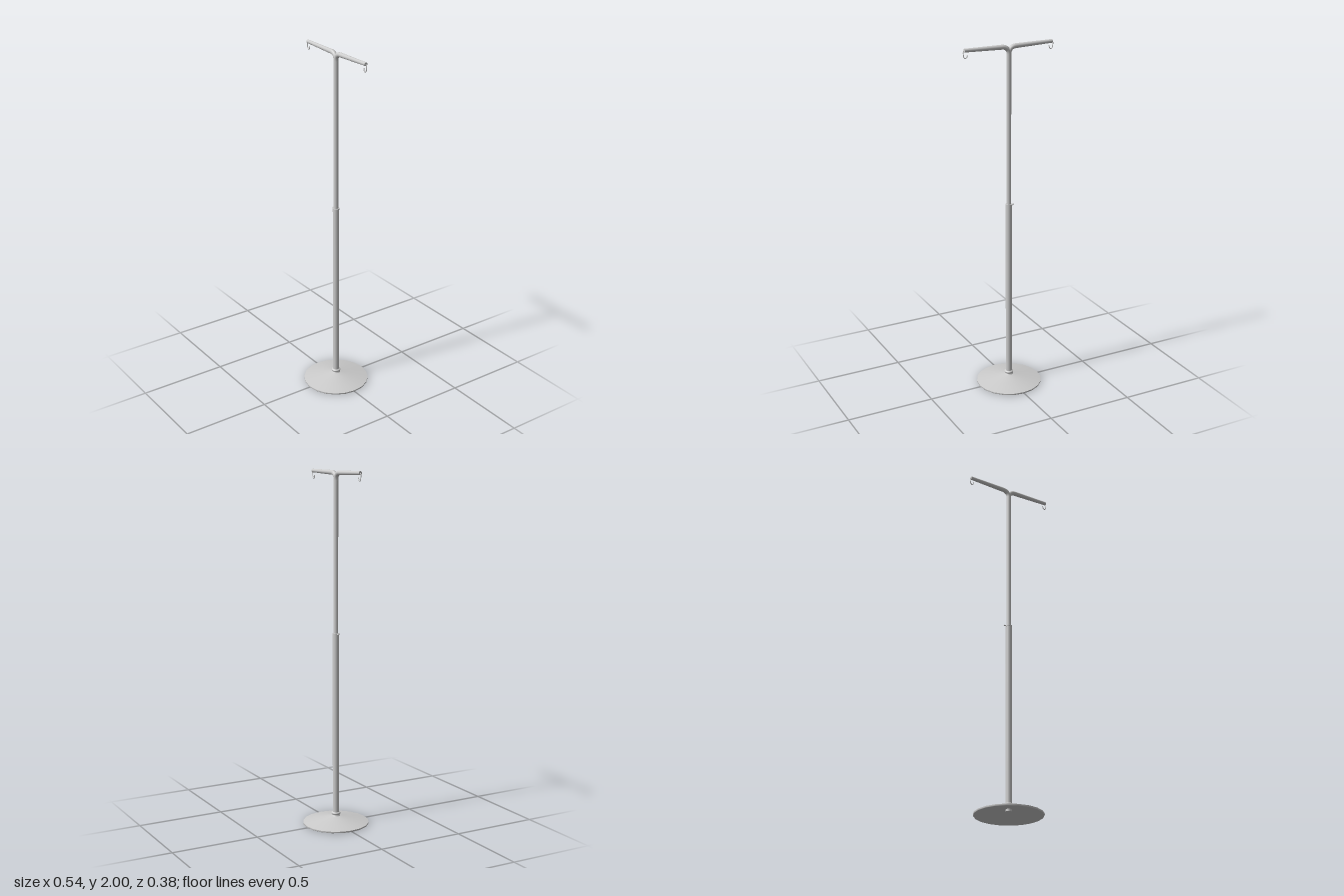
import * as THREE from 'three';

const mat = new THREE.MeshStandardMaterial({ color: 0xcccccc });
const thin = new THREE.MeshStandardMaterial({ color: 0xcccccc, side: THREE.DoubleSide });
const V = (x, y, z = 0) => new THREE.Vector3(x, y, z);

function add(group, name, geometry, material = mat) {
  const mesh = new THREE.Mesh(geometry, material);
  mesh.name = name;
  group.add(mesh);
  return mesh;
}

function lathe(points, sides) {
  return new THREE.LatheGeometry(points.map(([r, y]) => new THREE.Vector2(r, y)), sides);
}

// Tube whose radius runs from r0 to r1 after the fraction `start` of its length
function taperedTube(curve, r0, r1, start, steps, sides) {
  const geo = new THREE.TubeGeometry(curve, steps, 1, sides);
  const pos = geo.attributes.position;
  const p = V(0, 0), c = V(0, 0);
  for (let i = 0; i < pos.count; i++) {
    const u = Math.floor(i / (sides + 1)) / steps;
    const r = THREE.MathUtils.lerp(r0, r1, Math.max(0, (u - start) / (1 - start)));
    curve.getPointAt(u, c);
    p.fromBufferAttribute(pos, i).sub(c).multiplyScalar(r).add(c);
    pos.setXYZ(i, p.x, p.y, p.z);
  }
  return geo;
}

export function createModel() {
  const model = new THREE.Group();
  const stand = new THREE.Group();
  stand.name = 'stand';
  stand.position.x = 0.003;
  model.add(stand);

  // Shallow hollow conical foot
  add(stand, 'baseTop', lathe([[0.188, 0.009], [0.1, 0.028], [0.05, 0.038], [0.024, 0.044]], 20), thin);
  add(stand, 'baseRim', lathe([[0.186, 0], [0.188, 0.002], [0.188, 0.009]], 20), thin);
  add(stand, 'baseUnderside', lathe([[0, 0.034], [0.024, 0.034], [0.1, 0.02], [0.186, 0]], 20), thin);
  add(stand, 'baseHub', new THREE.CylinderGeometry(0.016, 0.016, 0.02, 20)).position.y = 0.032;

  // Rounded collar at the foot of the pole
  add(stand, 'baseCollar', lathe([
    [0.026, 0.042], [0.022, 0.048], [0.021, 0.052], [0.025, 0.055],
    [0.026, 0.059], [0.025, 0.063], [0.018, 0.066],
  ], 20), thin);

  // Telescopic pole
  add(stand, 'lowerPole', new THREE.CylinderGeometry(0.018, 0.018, 1.052, 20)).position.y = 0.569;
  add(stand, 'poleCollar', new THREE.CylinderGeometry(0.0195, 0.0195, 0.008, 20)).position.y = 1.096;
  add(stand, 'upperPole', new THREE.CylinderGeometry(0.013, 0.013, 0.85, 16)).position.y = 1.515;

  // Locking pin on the pole collar
  const pin = add(stand, 'lockingPin', new THREE.CylinderGeometry(0.003, 0.003, 0.02, 8));
  pin.rotation.z = Math.PI / 2;
  pin.position.set(-0.022, 1.096, 0);

  for (const [side, s] of [['left', 1], ['right', -1]]) {
    // Arm bending out of the pole and narrowing to its tip
    const path = new THREE.CurvePath();
    path.add(new THREE.LineCurve3(V(0, 1.92), V(0, 1.945)));
    path.add(new THREE.CubicBezierCurve3(V(0, 1.945), V(0, 1.968), V(s * 0.014, 1.984), V(s * 0.04, 1.985)));
    path.add(new THREE.LineCurve3(V(s * 0.04, 1.985), V(s * 0.2615, 1.989)));
    add(stand, side + 'Arm', taperedTube(path, 0.013, 0.01, 0.3, 40, 14));

    const cap = add(stand, side + 'ArmCap', new THREE.CircleGeometry(0.01, 14));
    cap.rotation.y = s * Math.PI / 2;
    cap.position.set(s * 0.2615, 1.989, 0);

    // Open hook hanging below the tip
    const hook = new THREE.CatmullRomCurve3([
      [0.2615, 1.989], [0.266, 1.983], [0.266, 1.966], [0.263, 1.953],
      [0.255, 1.947], [0.247, 1.952], [0.243, 1.965],
    ].map(([x, y]) => V(s * x, y)));
    add(stand, side + 'Hook', new THREE.TubeGeometry(hook, 28, 0.0025, 8), thin);
  }
  return model;
}
